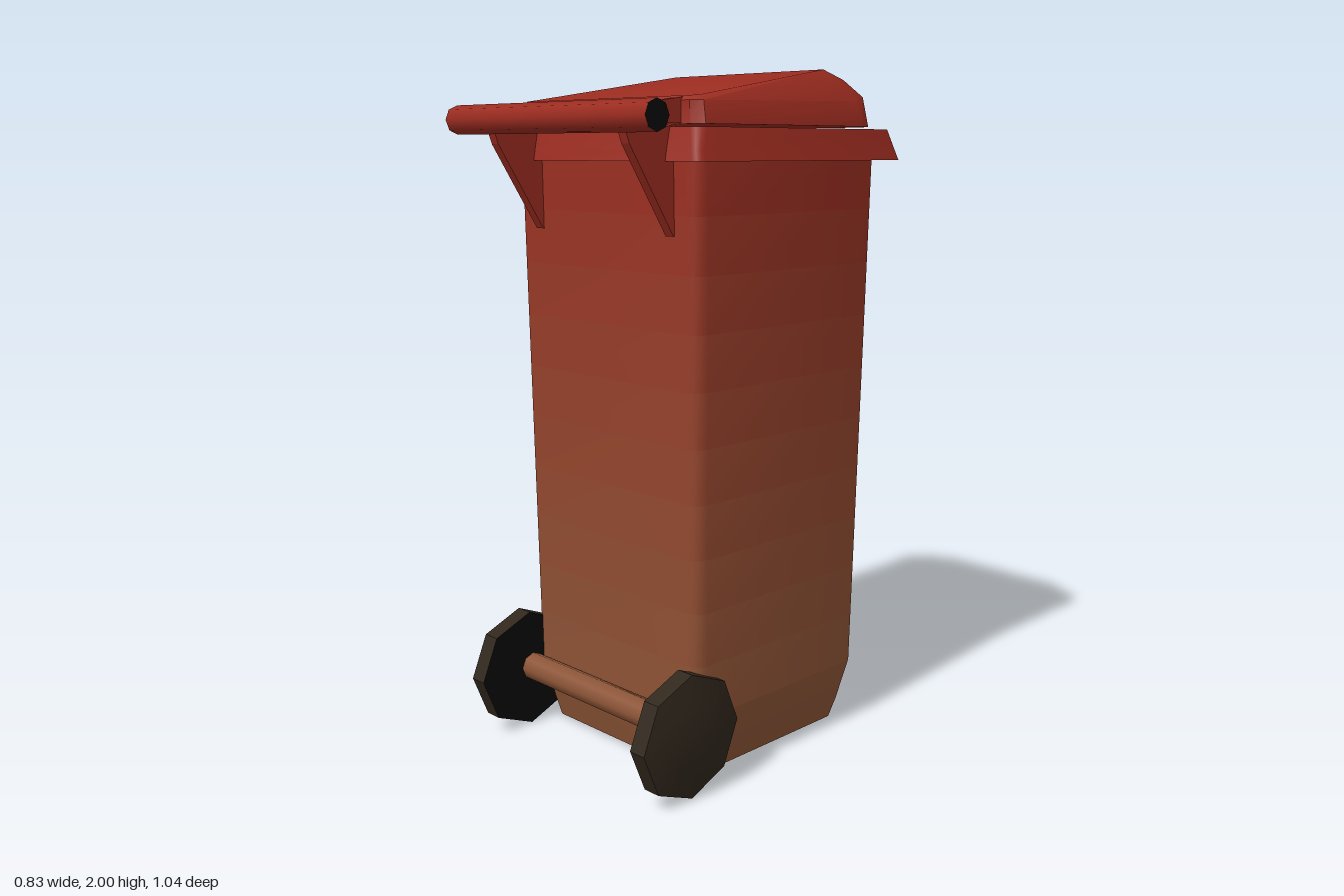
import * as THREE from 'three';
import { toCreasedNormals } from 'three/addons/utils/BufferGeometryUtils.js';

const RED = 0x9c2c20, BROWN = 0x8c5436, DARK = 0x30261c, BLACK = 0x0c0b0a;

function mesh(name, geometry, color, side = THREE.FrontSide) {
  const m = new THREE.Mesh(geometry, new THREE.MeshStandardMaterial({ color, side }));
  m.name = name;
  return m;
}

// Half outline (x > 0, front to back) of a rounded rectangle at height y.
function section(y, hx, front, back, r) {
  const pts = [];
  for (const [cz, start] of [[front - r, Math.PI / 2], [back + r, 0]]) {
    for (let i = 0; i <= 3; i++) {
      const a = start - (i / 3) * Math.PI / 2;
      pts.push([hx - r + r * Math.cos(a), y, cz + r * Math.sin(a)]);
    }
  }
  return pts;
}

// Skins mirrored half outlines, listed from the bottom up.
function loft(halves, capBottom = true, capTop = true, crease = 0.8) {
  const rings = halves.map(h => [...h, ...[...h].reverse().map(([x, y, z]) => [-x, y, z])]);
  const pos = [];
  const quad = (a, b, c, d) => pos.push(...a, ...b, ...c, ...a, ...c, ...d);
  const n = rings[0].length;
  for (let k = 0; k < rings.length - 1; k++) {
    for (let i = 0; i < n; i++) {
      const j = (i + 1) % n;
      quad(rings[k][i], rings[k][j], rings[k + 1][j], rings[k + 1][i]);
    }
  }
  const lo = rings[0], hi = rings[rings.length - 1];
  for (let i = 0; i < n / 2 - 1; i++) {
    if (capTop) quad(hi[i], hi[i + 1], hi[n - 2 - i], hi[n - 1 - i]);
    if (capBottom) quad(lo[n - 1 - i], lo[n - 2 - i], lo[i + 1], lo[i]);
  }
  const g = new THREE.BufferGeometry();
  g.setAttribute('position', new THREE.Float32BufferAttribute(pos, 3));
  return toCreasedNormals(g, crease);
}

// Thin plate with a side profile of [z, y] points, centred on x.
function plate(profile, x, width) {
  const shape = new THREE.Shape(profile.map(([z, y]) => new THREE.Vector2(-z, y)));
  const g = new THREE.ExtrudeGeometry(shape, { depth: width, bevelEnabled: false });
  return g.translate(0, 0, -width / 2).rotateY(Math.PI / 2).translate(x, 0, 0);
}

function wheel() {
  const g = new THREE.Group();
  const profile = [[0.182, 0], [0.182, 0.055], [0.1, 0.073], [0, 0.08]];
  const tyre = new THREE.LatheGeometry(profile.map(p => new THREE.Vector2(...p)), 8);
  g.add(mesh('tyre', toCreasedNormals(tyre, 0.6).rotateZ(-Math.PI / 2), DARK));
  g.add(mesh('wheelInnerFace', new THREE.CircleGeometry(0.182, 8).rotateY(-Math.PI / 2), BLACK));
  return g;
}

export function createModel() {
  const model = new THREE.Group();
  model.name = 'wheeledBin';

  // Body: tapered base, then bands fading from brown to red
  const body = new THREE.Group();
  body.name = 'body';
  const mix = t => new THREE.Color(BROWN).lerp(new THREE.Color(RED), t);
  const shoulder = section(0.2, 0.355, 0.28, -0.42, 0.04);
  body.add(mesh('base', loft([
    section(0.01, 0.31, 0.235, -0.37, 0.02),
    section(0.07, 0.328, 0.25, -0.388, 0.03),
    shoulder,
  ], true, false), BROWN));
  const bands = 10;
  const at = t => section(0.2 + 1.56 * t, 0.355 + 0.02 * t, 0.28 + 0.025 * t, -0.42 - 0.025 * t, 0.04);
  for (let i = 0; i < bands; i++) {
    body.add(mesh('wallBand', loft([at(i / bands), at((i + 1) / bands)], false, false), mix((i + 0.5) / bands)));
  }
  model.add(body);

  // Flared rim round the top of the body
  model.add(mesh('rim', loft([
    section(1.745, 0.41, 0.335, -0.518, 0.025),
    section(1.775, 0.402, 0.33, -0.508, 0.025),
    section(1.833, 0.392, 0.318, -0.486, 0.03),
  ]), RED));

  // Lid with bevelled sides, rising towards the back
  model.add(mesh('lid', loft([
    [[0.35, 1.84, 0.305], [0.385, 1.84, 0.285], [0.39, 1.84, -0.35], [0.35, 1.84, -0.43], [0.27, 1.84, -0.478]],
    [[0.345, 1.9, 0.305], [0.372, 1.9, 0.28], [0.372, 1.91, -0.33], [0.335, 1.925, -0.42], [0.26, 1.935, -0.458]],
    [[0.33, 1.912, 0.295], [0.35, 1.914, 0.27], [0.3, 2, -0.28], [0.285, 1.975, -0.39], [0.25, 1.95, -0.45]],
  ], true, true, 0.6), RED));

  // Handle bar with dark ends
  const bar = new THREE.CylinderGeometry(0.041, 0.041, 0.83, 8, 1, true).rotateZ(Math.PI / 2);
  const handle = mesh('handleBar', bar, RED);
  handle.position.set(0, 1.858, 0.484);
  model.add(handle);

  for (const s of [1, -1]) {
    const end = mesh('handleEnd', new THREE.CircleGeometry(0.041, 8).rotateY(s * Math.PI / 2), BLACK);
    end.position.set(s * 0.415, 1.858, 0.484);
    model.add(end);

    // Gusset from the body and arm from the lid
    model.add(mesh('handleGusset', plate([[0.295, 1.55], [0.295, 1.84], [0.35, 1.83], [0.475, 1.83], [0.46, 1.79], [0.305, 1.55]], s * 0.272, 0.03), RED, THREE.DoubleSide));
    model.add(mesh('lidArm', plate([[0.29, 1.842], [0.29, 1.91], [0.47, 1.885], [0.47, 1.84]], s * 0.303, 0.023), RED, THREE.DoubleSide));

    // Wheels
    const w = wheel();
    w.name = s > 0 ? 'leftWheel' : 'rightWheel';
    w.position.set(s * 0.33, 0.182, 0.33);
    if (s < 0) w.rotation.y = Math.PI;
    model.add(w);
  }

  // Axle
  const axle = mesh('axle', new THREE.CylinderGeometry(0.042, 0.042, 0.66, 8).rotateZ(Math.PI / 2), BROWN);
  axle.position.set(0, 0.187, 0.32);
  model.add(axle);

  return model;
}
